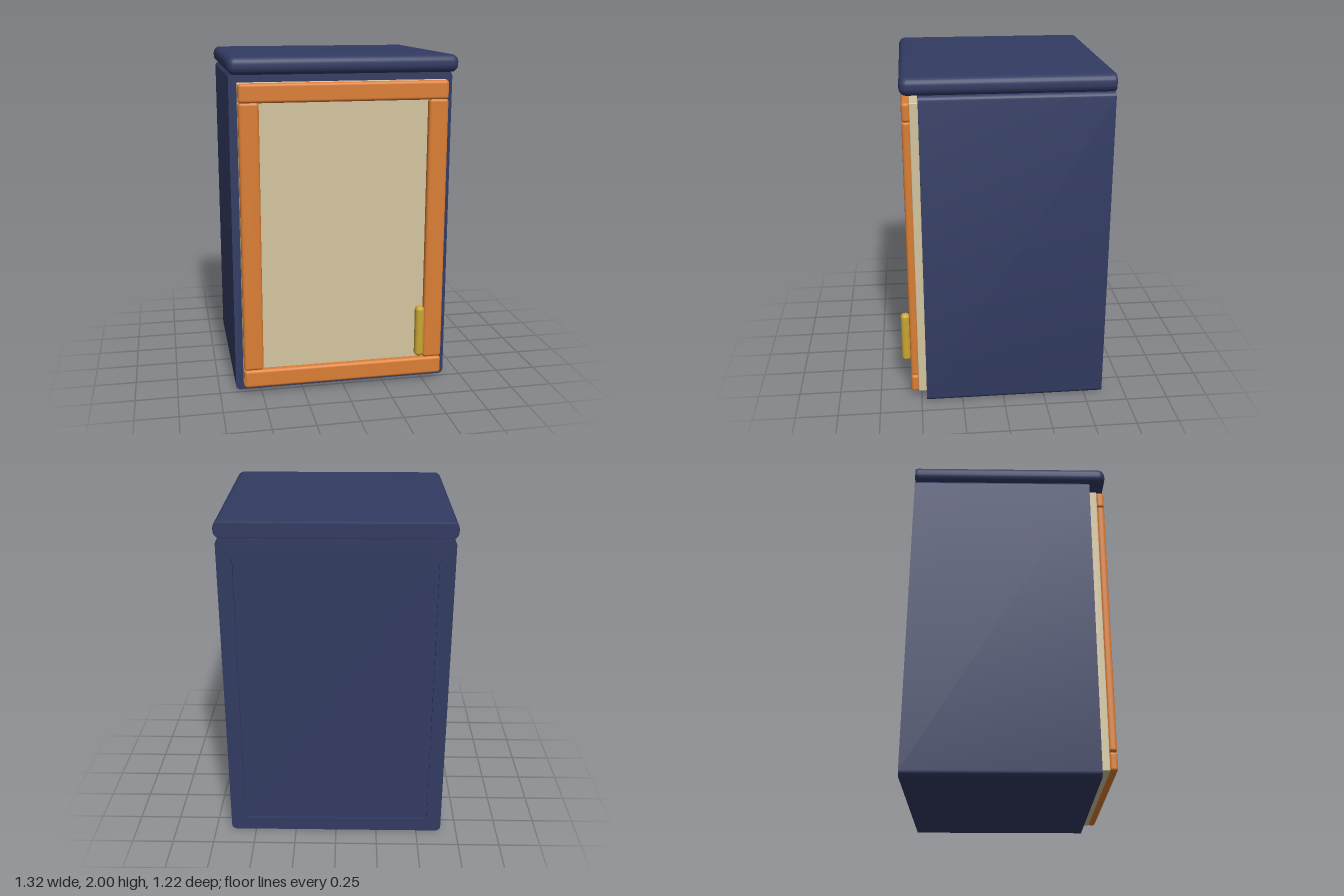
import * as THREE from 'three';
import { toCreasedNormals } from 'three/addons/utils/BufferGeometryUtils.js';
import { RoundedBoxGeometry } from 'three/addons/geometries/RoundedBoxGeometry.js';

const material = (name, color) => {
  const m = new THREE.MeshStandardMaterial({ color });
  m.name = name;
  return m;
};

// Rounded rectangle traced into a Shape or Path
function roundedRect(path, x0, x1, y0, y1, r) {
  path.moveTo(x0 + r, y0);
  path.lineTo(x1 - r, y0);
  path.absarc(x1 - r, y0 + r, r, -Math.PI / 2, 0);
  path.lineTo(x1, y1 - r);
  path.absarc(x1 - r, y1 - r, r, 0, Math.PI / 2);
  path.lineTo(x0 + r, y1);
  path.absarc(x0 + r, y1 - r, r, Math.PI / 2, Math.PI);
  path.lineTo(x0, y0 + r);
  path.absarc(x0 + r, y0 + r, r, Math.PI, Math.PI * 1.5);
  return path;
}

export function createModel() {
  const navy = material('navy paint', 0x323b62);
  const wood = material('orange wood', 0xdb7e35);
  const sand = material('sand panel', 0xd3c5a0);
  const brass = material('brass', 0xc8a632);

  const group = new THREE.Group();
  group.name = 'cabinet';

  const add = (name, geometry, mat) => {
    const mesh = new THREE.Mesh(geometry, mat);
    mesh.name = name;
    group.add(mesh);
    return mesh;
  };
  // Softly rounded block given by its extents
  const block = (name, mat, [x0, x1], [y0, y1], [z0, z1], r) => {
    const mesh = add(name, new RoundedBoxGeometry(x1 - x0, y1 - y0, z1 - z0, 4, r), mat);
    mesh.position.set((x0 + x1) / 2, (y0 + y1) / 2, (z0 + z1) / 2);
    return mesh;
  };

  const back = -0.612, front = 0.468;

  // Carcass: rounded tube running front to back
  const ring = roundedRect(new THREE.Shape(), -0.652, 0.652, 0.005, 1.9, 0.03);
  ring.holes.push(roundedRect(new THREE.Path(), -0.565, 0.565, 0.09, 1.815, 0.03));
  const carcass = new THREE.ExtrudeGeometry(ring, {
    depth: front - back, bevelEnabled: false, curveSegments: 6,
  });
  carcass.translate(0, 0, back);
  add('carcass', toCreasedNormals(carcass, 0.6), navy);

  // Slightly recessed back panel
  const panel = add('backPanel', new THREE.BoxGeometry(1.16, 1.76, 0.03), navy);
  panel.position.set(0, 0.9525, back + 0.03);

  // Worktop: rounded slab cut off flat at the back
  const depth = 0.568 - back + 0.025;
  const slab = new RoundedBoxGeometry(1.324, 0.1, depth, 5, 0.042);
  slab.translate(0, 1.95, 0.568 - depth / 2);
  const p = slab.attributes.position;
  for (let i = 0; i < p.count; i++) p.setZ(i, Math.max(p.getZ(i), back));
  add('worktop', toCreasedNormals(slab, 0.6), navy);

  // Door: flat panel with two rails and two stiles
  block('doorPanel', sand, [-0.607, 0.607], [0.05, 1.855], [front, 0.516], 0.006);
  for (const [name, y] of [['bottomRail', 0.05], ['topRail', 1.745]]) {
    block(name, wood, [-0.607, 0.607], [y, y + 0.11], [0.511, 0.56], 0.018);
  }
  for (const [name, x] of [['leftStile', 0.549], ['rightStile', -0.549]]) {
    block(name, wood, [x - 0.058, x + 0.058], [0.16, 1.75], [0.511, 0.56], 0.018);
  }

  // Upright handle
  block('handle', brass, [0.427, 0.482], [0.192, 0.508], [0.557, 0.612], 0.023);

  return group;
}
